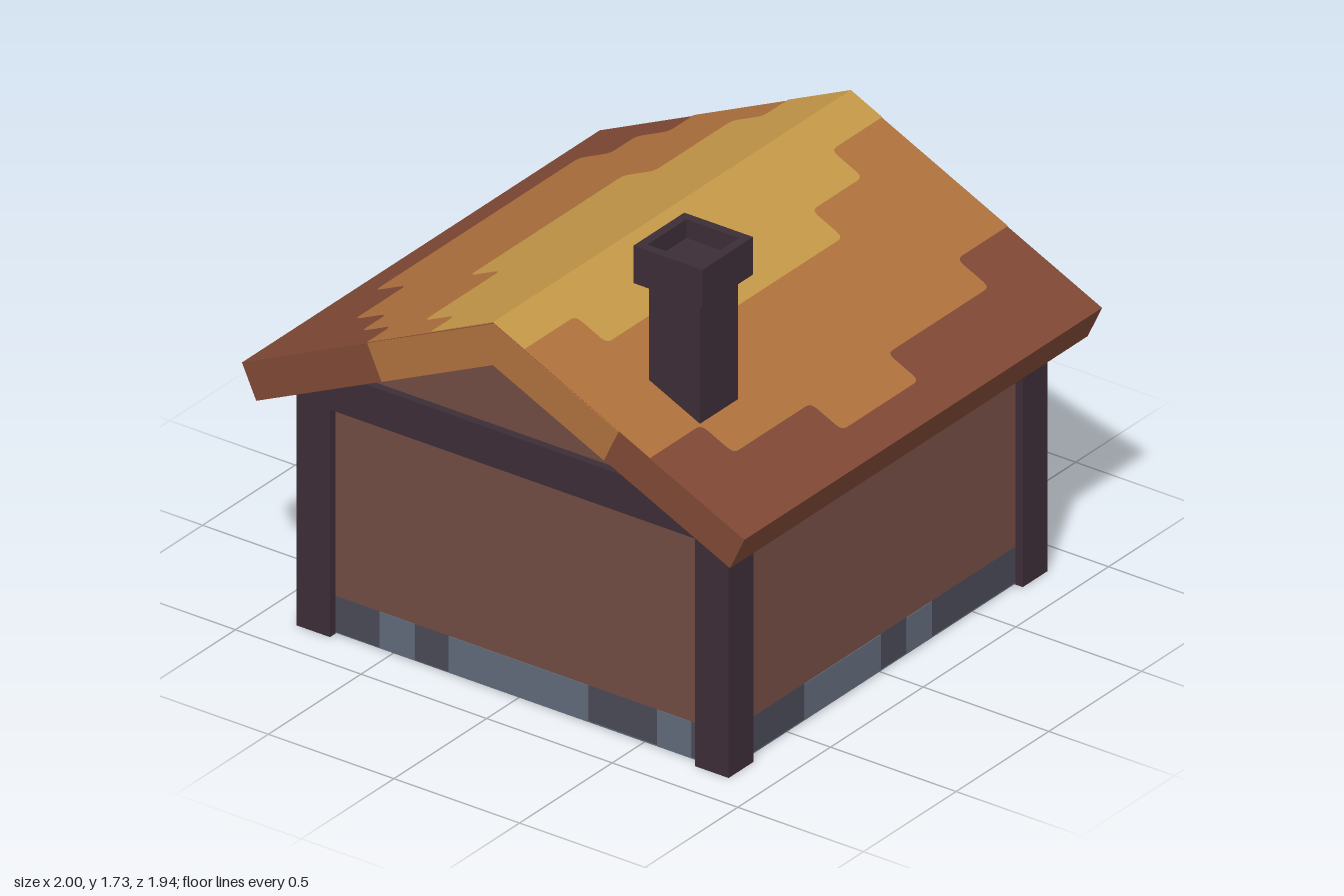
import * as THREE from 'three';

const mat = (name, color) => Object.assign(new THREE.MeshStandardMaterial({ color }), { name });
const timber = mat('dark timber', 0x3c2d36);
const plaster = mat('brown wall', 0x714c43);
const stoneDark = mat('dark stone', 0x484955);
const stoneLight = mat('light stone', 0x606a7a);
const red = mat('red roof', 0x7f4834);
const orange = mat('orange roof', 0xae703c);
const yellow = mat('yellow roof', 0xc49847);
const pane = mat('pale pane', 0xc0cccc);

const APEX = 1.425, SLOPE = 0.465, UNDER = 1.275, HALF_Z = 0.965;
const WALL = 0.83, POST_IN = 0.727, POST_OUT = 0.86, BASE = 0.138;

export function createModel() {
  const root = new THREE.Group();
  root.name = 'cottage';

  const add = (name, geometry, material) => {
    const mesh = new THREE.Mesh(geometry, material);
    mesh.name = name;
    root.add(mesh);
    return mesh;
  };
  // Box given by its two corners
  const box = (name, material, x0, x1, y0, y1, z0, z1) => {
    const mesh = add(name, new THREE.BoxGeometry(x1 - x0, y1 - y0, z1 - z0), material);
    mesh.position.set((x0 + x1) / 2, (y0 + y1) / 2, (z0 + z1) / 2);
    return mesh;
  };
  const polygon = pts => new THREE.Shape(pts.map(p => new THREE.Vector2(...p)));
  const rect = (x0, x1, y0, y1) => [[x0, y0], [x1, y0], [x1, y1], [x0, y1]];
  const extrude = (shape, depth) => new THREE.ExtrudeGeometry(shape, { depth, bevelEnabled: false });

  // Wall body with gables; the left wall is a separate plate with openings
  const inner = -0.77;
  const top = x => UNDER + 0.03 - 0.463 * Math.abs(x);
  const body = polygon([[inner, BASE], [WALL, BASE], [WALL, top(WALL)], [0, top(0)], [inner, top(inner)]]);
  add('walls', extrude(body, 2 * WALL), plaster).position.z = -WALL;
  const [d0, d1, openTop] = [0.277, 0.55, 0.55];
  const leftShape = polygon([[-WALL, BASE], [d0, BASE], [d0, openTop], [d1, openTop],
    [d1, BASE], [WALL, BASE], [WALL, 0.905], [-WALL, 0.905]]);
  leftShape.holes.push(polygon(rect(-0.55, -0.277, 0.277, 0.55)));
  const leftWall = add('openingWall', extrude(leftShape, WALL + inner), plaster);
  leftWall.rotation.y = -Math.PI / 2;
  leftWall.position.x = inner;
  box('windowPane', pane, inner - 0.005, inner + 0.002, 0.277, 0.55, -0.55, -0.277);
  box('doorPane', pane, inner - 0.005, inner + 0.002, 0.02, openTop, d0, d1);

  // Stone base, door threshold and floor
  box('stoneBase', stoneDark, inner, WALL, 0.006, BASE, -WALL, WALL);
  box('stoneBaseLeft', stoneDark, -WALL, inner, 0.006, BASE, -WALL, d0);
  box('stoneBaseLeft', stoneDark, -WALL, inner, 0.006, BASE, d1, WALL);
  box('threshold', stoneLight, -WALL, inner, 0.006, 0.02, d0, d1);
  box('floor', stoneLight, -WALL, WALL, 0.003, 0.008, -WALL, WALL);

  // Pale stones set in the base of each side
  const t = 0.003;
  for (const [a, b] of [[-0.55, -0.41], [-0.275, 0.28], [0.555, 0.69]])
    box('frontStone', stoneLight, a, b, 0.006, BASE, WALL - t, WALL + t);
  for (const [a, b] of [[0.41, 0.55], [0.14, 0.275], [-0.41, -0.14], [-0.69, -0.55]])
    box('backStone', stoneLight, a, b, 0.006, BASE, -WALL - t, -WALL + t);
  for (const [a, b] of [[0, 0.41], [-0.275, -0.14]])
    box('sideStone', stoneLight, WALL - t, WALL + t, 0.006, BASE, a, b);
  for (const [a, b] of [[-0.69, -0.55], [-0.14, 0.14]])
    box('sideStone', stoneLight, -WALL - t, -WALL + t, 0.006, BASE, a, b);

  // Corner posts and the ring of beams
  for (const s of [-1, 1]) {
    const span = (a, b) => s > 0 ? [a, b] : [-b, -a];
    for (const z of [-1, 1])
      box('cornerPost', timber, ...span(POST_IN, POST_OUT), 0, 0.968,
        ...(z > 0 ? [POST_IN, POST_OUT] : [-POST_OUT, -POST_IN]));
    box('gableBeam', timber, -POST_IN, POST_IN, 0.83, 0.968, ...span(0.76, POST_OUT));
    box('sideBeam', timber, ...span(0.76, POST_OUT), 0.83, 0.968, -POST_IN, POST_IN);
  }

  // Chevron roof; a is the distance from the ridge at which it is cut square
  const chevron = a => {
    const b = a - 0.057, ya = APEX - SLOPE * a, yb = UNDER - 0.463 * b;
    return polygon([[0, APEX], [-a, ya], [-b, yb], [0, UNDER], [b, yb], [a, ya]]);
  };
  add('roof', extrude(chevron(1), 2 * HALF_Z), red).position.z = -HALF_Z;
  const endPatch = (a, material, z) =>
    add('roofEndPatch', extrude(chevron(a), 0.004), material).position.z = z;
  endPatch(0.5, orange, HALF_Z - 0.002);
  endPatch(0.375, orange, -HALF_Z - 0.002);
  endPatch(0.125, yellow, -HALF_Z - 0.004);

  // Stepped colour patch on one slope; steps are [end z, width from ridge]
  const roofPatch = (side, steps, material, lift) => {
    const pts = [[0, HALF_Z]];
    let z = -HALF_Z;
    const edge = [];
    for (const [end, w] of steps) {
      edge.push([side * w, -z], [side * w, -end]);
      z = end;
    }
    pts.push(...edge, [0, -HALF_Z]);
    const shape = new THREE.Shape();
    const r = 0.025;
    pts.forEach((p, i) => {
      if (i === 0) return shape.moveTo(...p);
      if (i < 2 || i > pts.length - 3) return shape.lineTo(...p);
      const toward = q => {
        const d = Math.hypot(q[0] - p[0], q[1] - p[1]);
        return [p[0] + (q[0] - p[0]) * r / d, p[1] + (q[1] - p[1]) * r / d];
      };
      shape.lineTo(...toward(pts[i - 1]));
      shape.quadraticCurveTo(...p, ...toward(pts[i + 1]));
    });
    const g = new THREE.ShapeGeometry(shape, 3);
    const pos = g.attributes.position;
    for (let i = 0; i < pos.count; i++) {
      const x = pos.getX(i);
      pos.setXYZ(i, x, APEX - SLOPE * Math.abs(x) + lift, -pos.getY(i));
    }
    g.computeVertexNormals();
    add('roofPatch', g, material);
  };
  const E = HALF_Z;
  roofPatch(-1, [[-0.83, 0.625], [-0.69, 0.755], [0.41, 0.88], [0.69, 0.755], [0.83, 0.625], [E, 0.505]], orange, 0.003);
  roofPatch(-1, [[-0.83, 0.25], [-0.415, 0.375], [0.415, 0.5], [0.83, 0.375], [E, 0.25]], yellow, 0.006);
  roofPatch(1, [[-0.69, 0.625], [-0.14, 0.755], [0.275, 0.88], [0.69, 0.755], [E, 0.625]], orange, 0.003);
  roofPatch(1, [[-0.69, 0.125], [-0.415, 0.25], [0.415, 0.375], [0.69, 0.25], [E, 0.125]], yellow, 0.006);

  // Chimney with a hollow cap
  const cx = 0.518, cz = 0.587;
  box('chimneyShaft', timber, cx - 0.102, cx + 0.102, 1.12, 1.6, cz - 0.102, cz + 0.102);
  const capShape = polygon(rect(-0.137, 0.137, -0.137, 0.137));
  capShape.holes.push(polygon(rect(-0.105, 0.105, -0.105, 0.105)));
  const cap = add('chimneyCap', extrude(capShape, 0.137), timber);
  cap.rotation.x = -Math.PI / 2;
  cap.position.set(cx, 1.591, cz);
  box('chimneyCapFloor', timber, cx - 0.105, cx + 0.105, 1.592, 1.66, cz - 0.105, cz + 0.105);

  return root;
}
